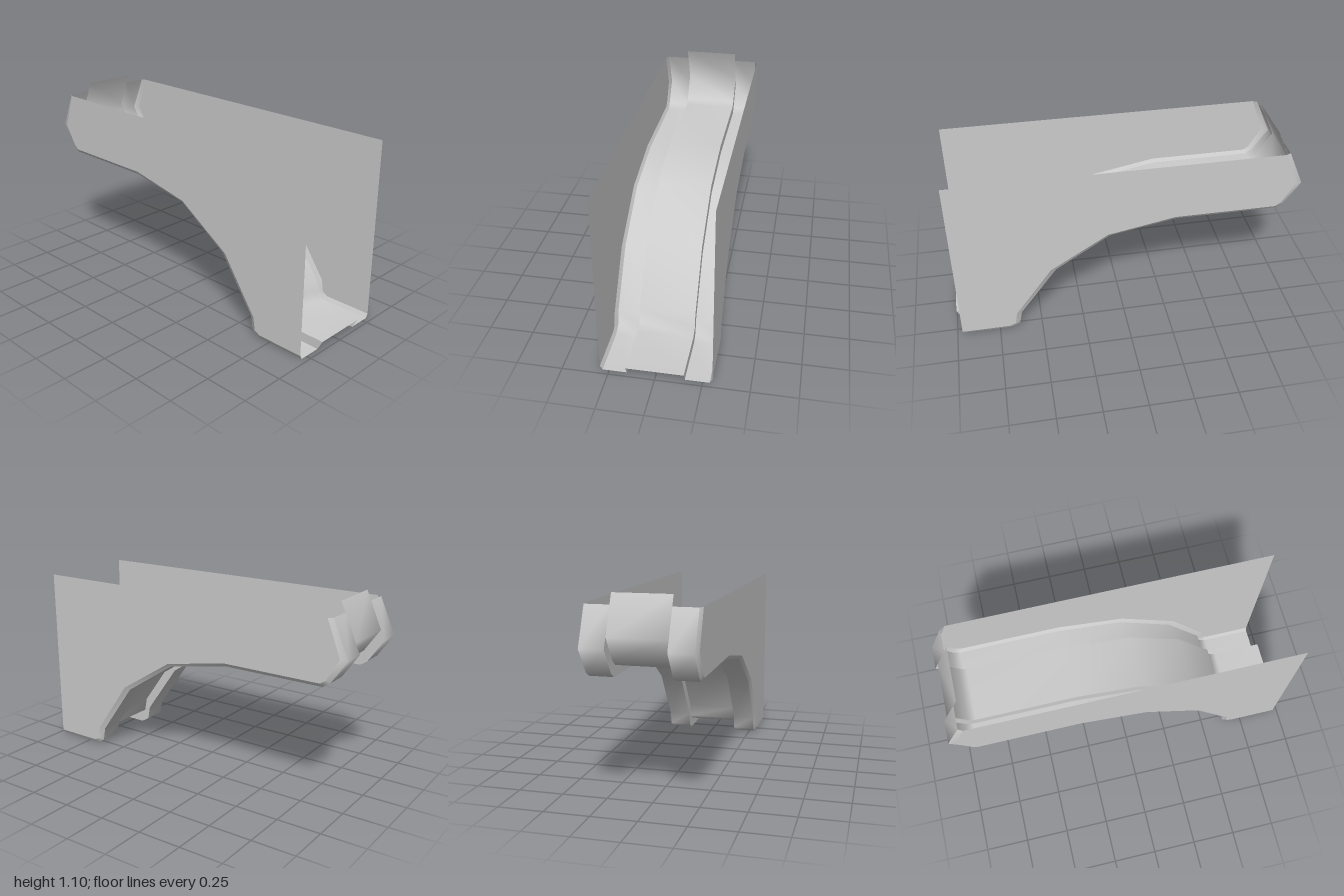
import * as THREE from 'three';

const material = new THREE.MeshStandardMaterial({ color: 0xcccccc, side: THREE.DoubleSide });

// Profiles as [z, y], running along the underside from the foot to the raised tip
const rim = [
  [0.97, 0], [0.68, 0], [0.63, 0.03], [0.615, 0.11], [0.40, 0.41], [0.085, 0.615],
  [-0.29, 0.683], [-0.87, 0.683], [-0.91, 0.71], [-1, 0.84], [-0.91, 1.045],
];
const panelEdge = [
  [0.97, 0.023], [0.69, 0.023], [0.657, 0.04], [0.645, 0.115], [0.43, 0.42], [0.10, 0.63],
  [-0.28, 0.703], [-0.86, 0.703], [-0.89, 0.725], [-0.962, 0.845], [-0.885, 1.045],
];
// The middle channel is the rim shifted up and forward
const channel = rim.map(([z, y], i) => [z + (i === 0 ? 0.03 : 0.025), y + 0.056]);

// Smooth strip between two profiles placed at two x positions
function strip(name, xA, profileA, xB, profileB) {
  const positions = [], index = [];
  profileA.forEach(([z, y], i) => {
    positions.push(xA, y, z, xB, profileB[i][1], profileB[i][0]);
    if (i > 0) {
      const a = 2 * (i - 1);
      index.push(a, a + 2, a + 1, a + 1, a + 2, a + 3);
    }
  });
  const geometry = new THREE.BufferGeometry();
  geometry.setAttribute('position', new THREE.Float32BufferAttribute(positions, 3));
  geometry.setIndex(index);
  geometry.computeVertexNormals();
  const mesh = new THREE.Mesh(geometry, material);
  mesh.name = name;
  return mesh;
}

// Flat side panel, facing outward on the given side (+1 left, -1 right)
function sidePanel(name, side) {
  const outline = [...panelEdge, [0.97, 1.045]];
  const shape = new THREE.Shape(outline.map(([z, y]) => new THREE.Vector2(-side * z, y)));
  const geometry = new THREE.ShapeGeometry(shape);
  geometry.rotateY(side * Math.PI / 2);
  geometry.translate(side * 0.3, 0, 0);
  const mesh = new THREE.Mesh(geometry, material);
  mesh.name = name;
  return mesh;
}

export function createModel() {
  const group = new THREE.Group();
  group.name = 'bracketShell';

  // Cross-section stations from the right side to the left side
  const stations = [
    [-0.3, panelEdge], [-0.286, rim], [-0.155, rim], [-0.155, channel],
    [0.155, channel], [0.155, rim], [0.286, rim], [0.3, panelEdge],
  ];
  const names = [
    'rightChamfer', 'rightRim', 'rightStep', 'channelFloor', 'leftStep', 'leftRim', 'leftChamfer',
  ];
  names.forEach((name, i) => {
    group.add(strip(name, ...stations[i], ...stations[i + 1]));
  });

  group.add(sidePanel('leftPanel', 1), sidePanel('rightPanel', -1));
  return group;
}
